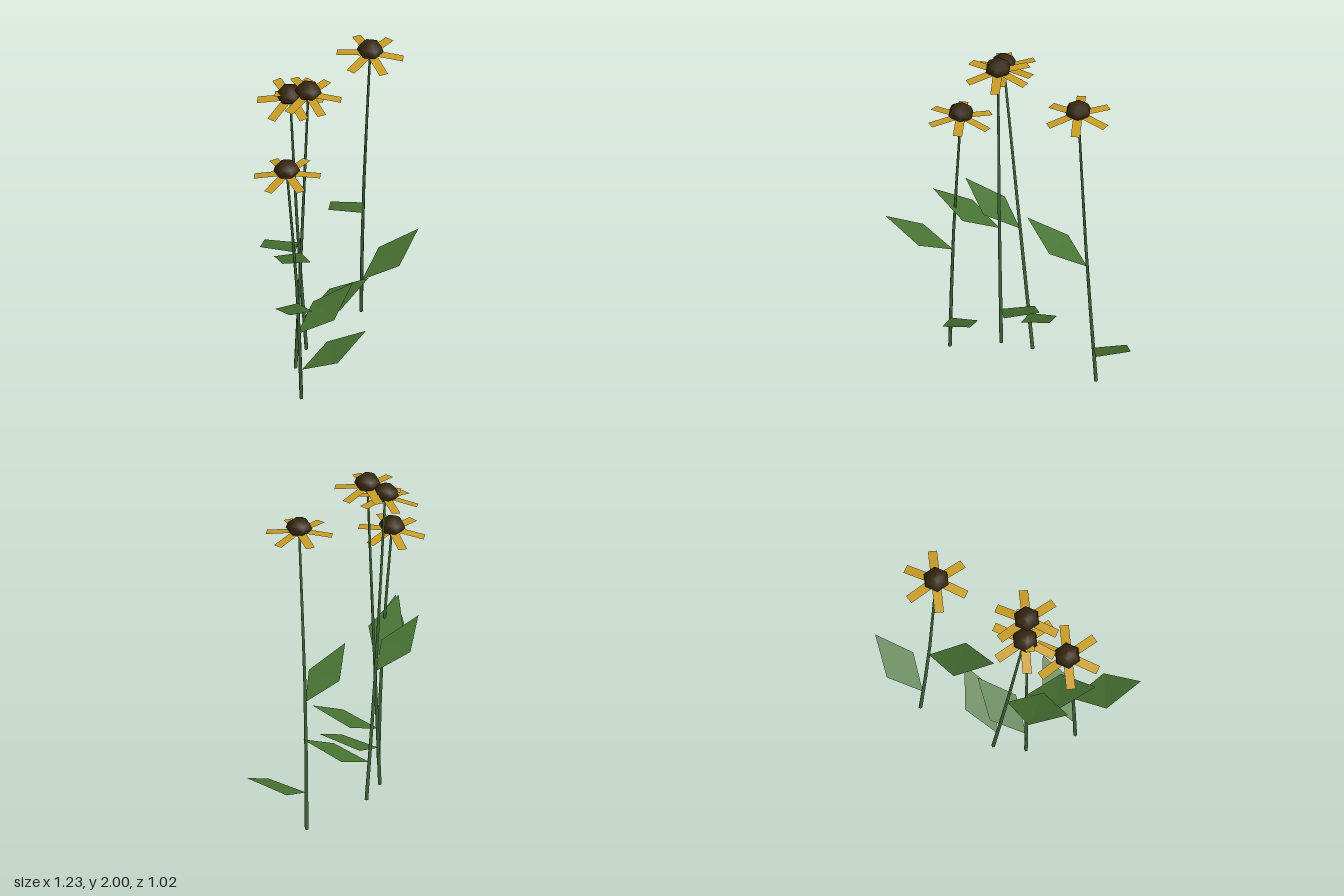
import * as THREE from 'three';

const mat = (name, color, extra = {}) => {
  const m = new THREE.MeshStandardMaterial({ color, ...extra });
  m.name = name;
  return m;
};

// Four flowers: stem points, head centre and lean, and base/tip of both leaves
const FLOWERS = [
  {
    stem: [[0.245, 0, -0.395], [0.235, 0.8, -0.345], [0.25, 1.87, -0.285]], lean: [0.02, 0.05],
    leaves: [[[0.245, 0.23, -0.38], [0.616, 0.43, -0.44]], [[0.235, 0.795, -0.345], [-0.08, 0.993, -0.122]]],
  },
  {
    stem: [[-0.395, 0, 0.21], [-0.408, 0.7, 0.185], [-0.443, 1.52, 0.122]], lean: [-0.05, -0.07],
    leaves: [[[-0.39, 0.195, 0.205], [-0.02, 0.388, 0.257]], [[-0.405, 0.65, 0.185], [-0.604, 0.85, 0.512]]],
  },
  {
    stem: [[-0.307, 0, -0.065], [-0.282, 0.85, -0.042], [-0.25, 1.915, -0.02]], lean: [0.03, 0.03],
    leaves: [[[-0.3, 0.235, -0.06], [0.073, 0.434, -0.127]], [[-0.284, 0.81, -0.043], [-0.53, 1.01, 0.253]]],
  },
  {
    stem: [[-0.18, 0, -0.2], [-0.25, 0.8, -0.155], [-0.328, 1.87, -0.092]], lean: [-0.15, 0.08],
    leaves: [[[-0.197, 0.235, -0.19], [0.176, 0.427, -0.14]], [[-0.25, 0.795, -0.155], [-0.57, 0.99, 0.034]]],
  },
];

// Open surface made of quads, four corners each
function quads(list) {
  const p = [];
  for (const [a, b, c, d] of list) p.push(...a, ...b, ...c, ...a, ...c, ...d);
  const g = new THREE.BufferGeometry();
  g.setAttribute('position', new THREE.Float32BufferAttribute(p, 3));
  g.computeVertexNormals();
  return g;
}

// Diamond leaf, gently folded across its widest line
function leafGeometry(base, tip) {
  const dx = tip[0] - base[0], dz = tip[2] - base[2], rise = tip[1] - base[1];
  const len = Math.hypot(dx, dz);
  const side = (s) => [
    base[0] + dx * 0.475 + (dz / len) * s,
    base[1] + rise * 0.43,
    base[2] + dz * 0.475 - (dx / len) * s,
  ];
  const l = side(0.105), r = side(-0.105);
  const g = new THREE.BufferGeometry();
  g.setAttribute('position', new THREE.Float32BufferAttribute([...base, ...r, ...l, ...l, ...r, ...tip], 3));
  g.computeVertexNormals();
  return g;
}

// Six straight, slightly drooping petals
function petalGeometry() {
  const list = [];
  for (let i = 0; i < 6; i++) {
    const a = (i * Math.PI) / 3, s = Math.sin(a), c = Math.cos(a);
    const at = (w, y, r) => [r * s + w * c, y, r * c - w * s];
    list.push([at(-0.026, 0.006, 0.03), at(-0.026, -0.012, 0.187), at(0.026, -0.012, 0.187), at(0.026, 0.006, 0.03)]);
  }
  return quads(list);
}

// Tapered stem through three points
function stemGeometry(points) {
  const curve = new THREE.CatmullRomCurve3(points.map((p) => new THREE.Vector3(...p)));
  const rows = 4, sides = 5;
  const g = new THREE.TubeGeometry(curve, rows, 1, sides);
  const pos = g.attributes.position, v = new THREE.Vector3();
  for (let i = 0; i < pos.count; i++) {
    const t = Math.floor(i / (sides + 1)) / rows;
    const c = curve.getPointAt(t);
    v.fromBufferAttribute(pos, i).sub(c).multiplyScalar(0.011 - 0.004 * t).add(c);
    pos.setXYZ(i, v.x, v.y, v.z);
  }
  return g;
}

export function createModel() {
  const leafGreen = mat('leaf green', 0x477232, { side: THREE.DoubleSide });
  const stemGreen = mat('stem green', 0x41693a);
  const petalYellow = mat('petal yellow', 0xc89d26, { side: THREE.DoubleSide });
  const coneBrown = mat('cone brown', 0x35270f);

  const petals = petalGeometry();
  const profile = [[0, -0.014], [0.045, -0.01], [0.076, 0.024], [0.062, 0.058], [0.032, 0.08], [0, 0.086]];
  const cone = new THREE.LatheGeometry(profile.map((p) => new THREE.Vector2(...p)), 6);

  const model = new THREE.Group();
  model.name = 'flowers';
  const add = (parent, name, geometry, material) => {
    const m = new THREE.Mesh(geometry, material);
    m.name = name;
    parent.add(m);
  };

  for (const f of FLOWERS) {
    const flower = new THREE.Group();
    flower.name = 'flower';
    add(flower, 'stem', stemGeometry(f.stem), stemGreen);
    add(flower, 'lowerLeaf', leafGeometry(...f.leaves[0]), leafGreen);
    add(flower, 'upperLeaf', leafGeometry(...f.leaves[1]), leafGreen);

    // Head leans with the stem
    const head = new THREE.Group();
    head.name = 'head';
    head.position.set(...f.stem[2]);
    head.quaternion.setFromUnitVectors(
      new THREE.Vector3(0, 1, 0),
      new THREE.Vector3(f.lean[0], 1, f.lean[1]).normalize(),
    );
    add(head, 'petals', petals, petalYellow);
    add(head, 'cone', cone, coneBrown);
    flower.add(head);
    model.add(flower);
  }
  return model;
}
